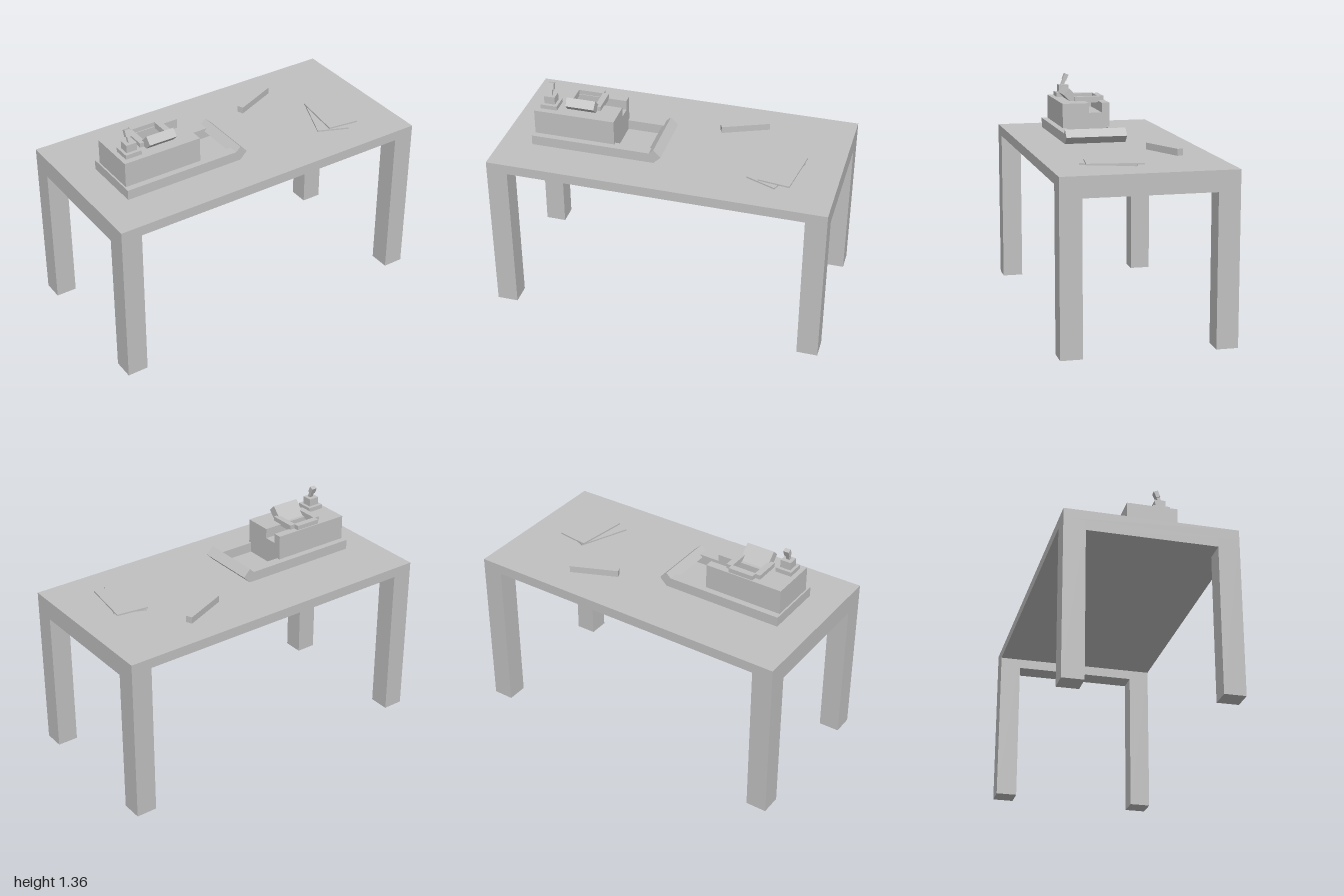
import * as THREE from 'three';

const grey = new THREE.MeshStandardMaterial({ color: 0xc0c0c0 });
grey.name = 'plain grey';

export function createModel() {
  const model = new THREE.Group();
  model.name = 'workTable';

  const group = (name) => {
    const g = new THREE.Group();
    g.name = name;
    model.add(g);
    return g;
  };
  const mesh = (parent, name, geometry) => {
    const m = new THREE.Mesh(geometry, grey);
    m.name = name;
    parent.add(m);
    return m;
  };
  // box from its x, y and z ranges
  const box = (parent, name, [x0, x1], [y0, y1], [z0, z1]) => {
    const m = mesh(parent, name, new THREE.BoxGeometry(x1 - x0, y1 - y0, z1 - z0));
    m.position.set((x0 + x1) / 2, (y0 + y1) / 2, (z0 + z1) / 2);
    return m;
  };
  // box from size, centre and rotation
  const turned = (parent, name, size, centre, rotation) => {
    const m = mesh(parent, name, new THREE.BoxGeometry(...size));
    m.position.set(...centre);
    m.rotation.set(...rotation);
    return m;
  };

  // table: slab, end rails, four square legs
  const table = group('table');
  box(table, 'tableTop', [-1, 1], [0.94, 1], [-0.5, 0.5]);
  for (const s of [-1, 1]) {
    const x = s < 0 ? [-1, -0.875] : [0.875, 1];
    box(table, 'endRail', x, [0.88, 0.94], [-0.375, 0.375]);
    box(table, 'leg', x, [0, 0.94], [-0.5, -0.375]);
    box(table, 'leg', x, [0, 0.94], [0.375, 0.5]);
  }

  // tray: three low walls and a diamond-shaped front lip
  const tray = group('tray');
  box(tray, 'trayBackWall', [-0.81, -0.07], [1, 1.06], [-0.128, -0.069]);
  box(tray, 'trayFrontWall', [-0.81, -0.07], [1, 1.06], [0.187, 0.245]);
  box(tray, 'trayEndWall', [-0.81, -0.75], [1, 1.06], [-0.069, 0.187]);
  turned(tray, 'trayLip', [0.062, 0.062, 0.373], [-0.067, 1.044, 0.0585], [0, 0, Math.PI / 4]);

  // machine body with a channel cut into its top, open at the +x end
  const body = group('machineBody');
  box(body, 'bodyEnd', [-0.8, -0.62], [1, 1.21], [-0.09, 0.207]);
  const profile = new THREE.Shape([
    [-0.207, 1], [0.09, 1], [0.09, 1.21], [0.04, 1.21], [0.04, 1.15],
    [-0.04, 1.15], [-0.04, 1.21], [-0.207, 1.21],
  ].map(([z, y]) => new THREE.Vector2(z, y)));
  const channel = mesh(body, 'bodyChannel',
    new THREE.ExtrudeGeometry(profile, { depth: 0.305, bevelEnabled: false }));
  channel.rotation.y = Math.PI / 2;
  channel.position.x = -0.62;

  // frame on top with a tilted head
  const frame = group('topFrame');
  box(frame, 'frameSide', [-0.645, -0.608], [1.2, 1.237], [-0.052, 0.108]);
  box(frame, 'frameSide', [-0.462, -0.425], [1.2, 1.237], [-0.052, 0.108]);
  box(frame, 'frameRear', [-0.613, -0.457], [1.2, 1.237], [-0.083, -0.045]);
  turned(frame, 'tiltedHead', [0.174, 0.054, 0.11], [-0.533, 1.23, 0.117], [-Math.PI / 4, 0, 0]);

  // lever switch
  const lever = group('lever');
  box(lever, 'leverPlate', [-0.772, -0.672], [1.205, 1.236], [0.07, 0.172]);
  box(lever, 'leverBlock', [-0.755, -0.69], [1.236, 1.283], [0.09, 0.152]);
  turned(lever, 'leverStem', [0.02, 0.09, 0.02], [-0.722, 1.3, 0.12], [-0.4, 0, 0]);
  turned(lever, 'leverKnob', [0.034, 0.04, 0.026], [-0.722, 1.333, 0.107], [-0.4, 0, 0]);

  // loose bar and two overlapping sheets
  turned(model, 'looseBar', [0.292, 0.04, 0.039], [0.36, 1.02, -0.25], [0, 0.403, 0]);
  const sheets = group('sheets');
  turned(sheets, 'lowerSheet', [0.19, 0.009, 0.32], [0.633, 1.0045, 0.135], [0, -0.39, 0]);
  turned(sheets, 'upperSheet', [0.19, 0.009, 0.32], [0.669, 1.0135, 0.125], [0, -0.135, 0]);

  return model;
}
